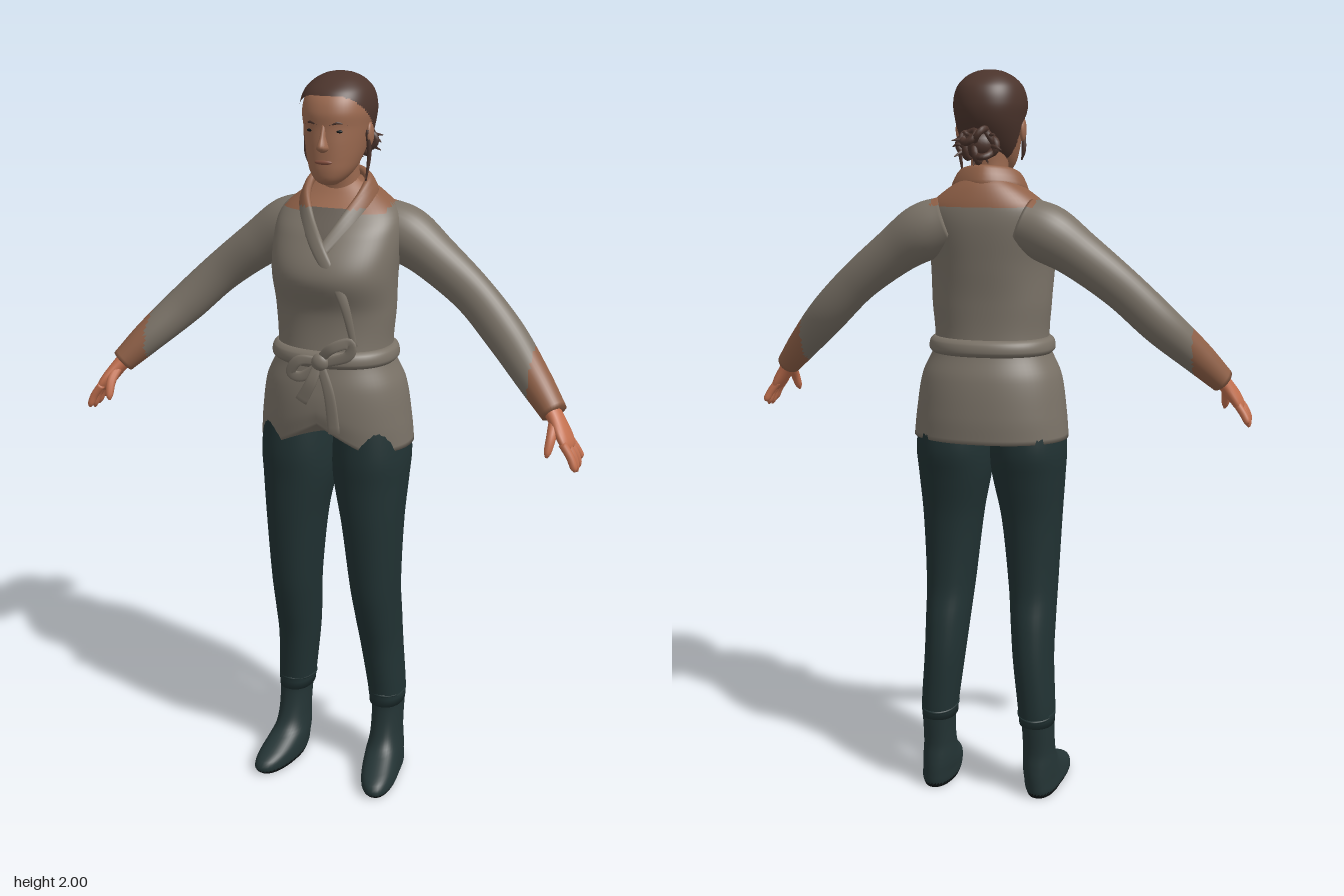
import * as THREE from 'three';

const mat = (name, color) => Object.assign(new THREE.MeshStandardMaterial({ color }), { name });
const M = {
  knit: mat('grey knit', 0x7a7267), tan: mat('tan trim', 0x8f6047), face: mat('face skin', 0x9c6a50),
  hand: mat('hand skin', 0xc2704f), hair: mat('brown hair', 0x4b342c), pants: mat('dark teal cloth', 0x213233),
  boot: mat('boot leather', 0x243435), sole: mat('black sole', 0x101516), shirt: mat('undershirt', 0x655d54),
  lips: mat('lips', 0x85503f),
};
const V = (x, y, z) => new THREE.Vector3(x, y, z);

// Smooth interpolation of key rows; the first column is the parameter
function at(keys, t) {
  const n = keys.length;
  let i = 0;
  while (i < n - 2 && t > keys[i + 1][0]) i++;
  const h = keys[i + 1][0] - keys[i][0], f = (t - keys[i][0]) / h;
  const slope = (k, c) => {
    const a = keys[Math.max(k - 1, 0)], b = keys[Math.min(k + 1, n - 1)];
    return (b[c] - a[c]) / (b[0] - a[0]);
  };
  const f2 = f * f, f3 = f2 * f;
  return keys[i].map((v, c) => c === 0 ? t : (2 * f3 - 3 * f2 + 1) * v + (f3 - 2 * f2 + f) * h * slope(i, c)
    + (3 * f2 - 2 * f3) * keys[i + 1][c] + (f3 - f2) * h * slope(i + 1, c));
}

// Closed skin over rings; pick(point) gives a material, or null to leave a hole
function skin(name, rings, pick) {
  const seg = rings[0].length, R = rings.length, pts = rings.flat(), buckets = new Map();
  for (const r of [rings[0], rings[R - 1]])
    pts.push(r.reduce((s, p) => s.add(p), V(0, 0, 0)).multiplyScalar(1 / seg));
  const tri = (a, b, c) => {
    const m = pick(pts[a].clone().add(pts[b]).add(pts[c]).multiplyScalar(1 / 3));
    if (!m) return;
    if (!buckets.has(m)) buckets.set(m, []);
    buckets.get(m).push(a, b, c);
  };
  for (let j = 0; j < seg; j++) {
    const k = (j + 1) % seg;
    for (let i = 0; i < R - 1; i++) {
      const a = i * seg, b = a + seg;
      tri(a + j, b + j, a + k);
      tri(a + k, b + j, b + k);
    }
    tri(R * seg, j, k);
    tri(R * seg + 1, (R - 1) * seg + k, (R - 1) * seg + j);
  }
  const g = new THREE.BufferGeometry().setFromPoints(pts), index = [], mats = [...buckets.keys()];
  mats.forEach((m, i) => {
    g.addGroup(index.length, buckets.get(m).length, i);
    index.push(...buckets.get(m));
  });
  g.setIndex(index);
  g.computeVertexNormals();
  const mesh = new THREE.Mesh(g, mats.length === 1 ? mats[0] : mats);
  mesh.name = name;
  return mesh;
}
const pw = (v, n) => Math.sign(v) * Math.abs(v) ** (2 / n);
const asPick = (m) => (typeof m === 'function' ? m : () => m);

// Upright loft: keys are [y, centre x, half width, front z, back z]
function column(name, keys, m, { s = 1, steps = 30, seg = 40, n = 2.2, warp } = {}) {
  const rings = [], y0 = keys[0][0], y1 = keys[keys.length - 1][0];
  for (let i = 0; i <= steps; i++) {
    const [y, cx, hx, zf, zb] = at(keys, y0 + (y1 - y0) * i / steps);
    rings.push(Array.from({ length: seg }, (_, j) => {
      const a = j / seg * Math.PI * 2;
      const p = V(s * cx + hx * pw(Math.cos(a), n), y, (zf + zb) / 2 + (zf - zb) / 2 * pw(Math.sin(a), n));
      if (warp) warp(p);
      return p;
    }));
  }
  return skin(name, rings, asPick(m));
}

// Loft along a path: rows are [x, y, z, radius along ref, radius across]
function tube(name, rows, m, { s = 1, per = 6, seg = 14, n = 2, ref = () => V(0, 0, 1) } = {}) {
  const keys = rows.map((r, i) => [i, s * r[0], ...r.slice(1)]), rings = [], last = rows.length - 1;
  const pos = (t) => { const k = at(keys, t); return V(k[1], k[2], k[3]); };
  for (let i = 0; i <= last * per; i++) {
    const t = i / per, k = at(keys, t), p = pos(t);
    const d = pos(Math.min(t + 0.02, last)).sub(pos(Math.max(t - 0.02, 0))).normalize();
    const u = ref(p), v = V(0, 0, 0);
    u.addScaledVector(d, -u.dot(d)).normalize();
    v.crossVectors(u, d);
    rings.push(Array.from({ length: seg }, (_, j) => {
      const a = j / seg * Math.PI * 2;
      return p.clone().addScaledVector(u, k[4] * pw(Math.cos(a), n)).addScaledVector(v, k[5] * pw(Math.sin(a), n));
    }));
  }
  return skin(name, rings, asPick(m));
}
function blob(name, m, x, y, z, rx, ry, rz) {
  const b = new THREE.Mesh(new THREE.SphereGeometry(1, 20, 14), m);
  b.name = name;
  b.position.set(x, y, z);
  b.scale.set(rx, ry, rz);
  return b;
}

const TORSO = [[1.03, 0, .213, .15, -.155], [1.1, 0, .206, .158, -.156], [1.2, 0, .19, .155, -.145],
  [1.28, 0, .157, .14, -.121], [1.4, 0, .162, .132, -.12], [1.5, 0, .167, .162, -.13], [1.6, 0, .172, .112, -.14],
  [1.65, 0, .16, .068, -.137], [1.69, 0, .115, .035, -.126], [1.72, 0, .07, .015, -.11], [1.735, 0, .05, .0, -.09]];
// Front surface of the torso, used to lay the lapels
const chest = (x, y) => {
  const [, , hx, zf, zb] = at(TORSO, y);
  return (zf + zb) / 2 + (zf - zb) / 2 * (1 - Math.min(1, Math.abs(x / hx)) ** 2.2) ** (1 / 2.2);
};

function cardigan(g) {
  g.add(column('cardigan body', TORSO, (p) => {
    if (p.z > -.02 && p.y > 1.57 && Math.abs(p.x) < (p.y - 1.56) * .75) return p.y > 1.665 ? M.face : M.shirt;
    return p.y > 1.655 && Math.abs(p.x) < .14 ? M.tan : M.knit;
  }, { steps: 60, seg: 64, warp: (p) => {
    if (p.z > 0 && p.y < 1.2) p.y += .075 * Math.max(0, 1 - Math.abs(p.x) / .13) * (1.2 - p.y) / .17;
  } }));

  // Shawl collar: down one lapel, round the neck, down the other
  const lay = (x, y, w) => [x, y, chest(x, y), .009, w];
  g.add(tube('shawl collar', [lay(.092, 1.32, .008), lay(.068, 1.45, .013), lay(.008, 1.56, .018), lay(-.052, 1.635, .022),
    [-.084, 1.69, .012, .012, .026], [-.074, 1.722, -.05, .012, .03], [0, 1.732, -.096, .012, .03],
    [.074, 1.722, -.05, .012, .03], [.084, 1.69, .012, .012, .026], lay(.056, 1.635, .022), lay(.006, 1.56, .015)],
  (p) => (p.y > 1.665 ? M.tan : M.knit), { per: 8, n: 2.6, ref: (p) => V(p.x, .03, p.z + .04) }));

  // Belt and bow
  const belt = [[1.26, 0], [1.27, .012], [1.295, .012], [1.305, 0]].map(([y, o]) => {
    const k = at(TORSO, y);
    return [y, 0, k[2] + o, k[3] + o, k[4] - o];
  });
  g.add(column('belt', belt, M.knit, { steps: 10, seg: 64 }));
  const ribbon = (name, pts) => g.add(tube(name, pts.map(([x, y, z, w]) => [x, y, z, .005, w]), M.knit, { n: 2.6 }));
  ribbon('bow loop', [[.01, 1.285, .16, .012], [.05, 1.325, .172, .014], [.095, 1.34, .16, .015], [.09, 1.305, .158, .014], [.02, 1.28, .16, .012]]);
  ribbon('bow loop', [[.01, 1.285, .16, .012], [-.04, 1.285, .172, .014], [-.065, 1.25, .168, .014], [-.035, 1.24, .165, .014], [.015, 1.275, .162, .012]]);
  ribbon('bow tail', [[.015, 1.28, .163, .012], [.045, 1.2, .174, .015], [.058, 1.095, .172, .017]]);
  ribbon('bow tail', [[.01, 1.28, .163, .012], [-.005, 1.23, .176, .015], [-.035, 1.175, .172, .017]]);
  g.add(blob('bow knot', M.knit, .015, 1.283, .163, .024, .024, .016));
}

function arm(g, s) {
  g.add(tube('sleeve', [[.1, 1.61, -.065, .068, .07], [.17, 1.582, -.068, .072, .076], [.25, 1.53, -.062, .06, .064],
    [.36, 1.445, -.05, .047, .056], [.46, 1.35, -.02, .048, .054], [.55, 1.262, .035, .044, .045], [.617, 1.192, .076, .038, .034]],
  (p) => (Math.abs(p.x) > .545 || (Math.abs(p.x) < .14 && p.y > 1.655) ? M.tan : M.knit), { s, per: 10, seg: 32 }));
  g.add(tube('palm', [[.6, 1.21, .07, .026, .022], [.625, 1.18, .085, .032, .02], [.65, 1.145, .1, .042, .018],
    [.664, 1.122, .106, .04, .014], [.668, 1.112, .108, .02, .006]], M.hand, { s, seg: 20 }));
  for (let i = 0; i < 4; i++) {
    const z = .074 + i * .021, tip = .066 + i * .026, drop = [.018, .004, 0, .008][i];
    g.add(tube('finger', [[.655, 1.135, z, .011, .011], [.677, 1.104, (z + tip) / 2, .0105, .0105],
      [.688, 1.075 + drop / 2, tip, .009, .009], [.692, 1.06 + drop, tip, .003, .003]], M.hand, { s, seg: 10 }));
  }
  g.add(tube('thumb', [[.622, 1.18, .095, .014, .014], [.625, 1.15, .132, .013, .013], [.622, 1.115, .152, .01, .01],
    [.62, 1.1, .157, .003, .003]], M.hand, { s, seg: 10, ref: () => V(1, 0, 0) }));
}

function leg(g, s) {
  g.add(column('trouser leg', [[.215, .142, .049, .026, -.106], [.25, .141, .051, .028, -.109], [.4, .128, .056, .052, -.11],
    [.5, .123, .061, .078, -.1], [.6, .119, .067, .1, -.083], [.8, .112, .083, .122, -.09], [.93, .104, .1, .13, -.115],
    [1, .104, .103, .135, -.13], [1.14, .1, .09, .125, -.12]], M.pants, { s, steps: 40 }));
  g.add(column('boot', [[0, .152, .046, .162, -.088], [.015, .152, .052, .176, -.095], [.04, .15, .052, .163, -.097],
    [.065, .148, .05, .11, -.097], [.09, .147, .047, .062, -.095], [.13, .146, .044, .036, -.092],
    [.2, .145, .045, .021, -.099], [.25, .143, .05, .024, -.105]], (p) => (p.y < .011 ? M.sole : M.boot),
  { s, steps: 32, warp: (p) => { p.x += s * .13 * Math.max(0, p.z - .02); } }));
  g.add(tube('trouser seam', Array.from({ length: 9 }, (_, i) => {
    const a = i / 8 * Math.PI * 2;
    return [.141 + .05 * Math.cos(a), .245 + .008 * Math.sin(a), -.041 + .068 * Math.sin(a), .004, .004];
  }), M.pants, { s, seg: 8, ref: () => V(0, 1, 0) }));
}

const HEAD = [[1.727, 0, .02, .078, .035], [1.737, 0, .036, .094, .005], [1.76, 0, .055, .101, -.035], [1.79, 0, .067, .102, -.07],
  [1.83, 0, .077, .102, -.1], [1.87, 0, .084, .1, -.118], [1.91, 0, .088, .1, -.122], [1.95, 0, .078, .082, -.11],
  [1.975, 0, .056, .048, -.083], [1.99, 0, .028, .01, -.05], [1.994, 0, .008, -.012, -.028]];

function head(g) {
  g.add(column('neck', [[1.64, 0, .07, .03, -.1], [1.7, 0, .052, .022, -.082], [1.75, 0, .048, .03, -.075], [1.8, 0, .05, .04, -.08]], M.face));
  g.add(column('head', HEAD, M.face, { steps: 48, seg: 56 }));
  const hairline = (y) => (y < 1.86 ? -.03 : -.03 + (y - 1.86) * 1.25);
  g.add(column('hair', HEAD.map(([y, x, w, f, b]) => [y + .006, x, w + .007, f + .005, b - .006]),
    (p) => (p.y > 1.765 && (p.y > 1.95 || p.z < hairline(p.y)) ? M.hair : null), { steps: 90, seg: 96 }));
  g.add(column('nose', [[1.812, 0, .008, .108, .07], [1.82, 0, .017, .121, .07], [1.828, 0, .015, .124, .07],
    [1.85, 0, .009, .113, .07], [1.88, 0, .008, .1, .07]], M.face, { steps: 14, seg: 20, n: 2 }));
  g.add(blob('mouth', M.lips, 0, 1.787, .097, .024, .007, .008));
  for (const s of [1, -1]) {
    g.add(blob('eye', M.sole, s * .034, 1.864, .087, .014, .005, .006));
    g.add(tube('eyebrow', [[.016, 1.879, .096, .003, .003], [.036, 1.885, .091, .003, .004], [.056, 1.878, .075, .002, .002]], M.hair, { s, seg: 8 }));
    g.add(blob('ear', M.face, s * .086, 1.848, -.008, .009, .03, .018));
    g.add(tube('loose lock', [[.083, 1.86, .008, .004, .005], [.087, 1.8, .0, .005, .006], [.08, s > 0 ? 1.73 : 1.77, .005, .002, .002]], M.hair, { s, seg: 8 }));
  }
  // Knotted bun with loose ends
  g.add(blob('bun', M.hair, 0, 1.812, -.132, .044, .036, .036));
  for (let i = 0; i < 9; i++) {
    const a = i * 2.4, c = Math.cos(a), d = Math.sin(a);
    const coil = new THREE.Mesh(new THREE.TorusGeometry(.02, .009, 8, 18), M.hair);
    coil.name = 'bun coil';
    coil.position.set(c * .032, 1.812 + d * .024, -.146 + .012 * Math.sin(i * 1.7));
    coil.rotation.set(a, i * .9, 0);
    g.add(coil);
    g.add(tube('bun loose end', [[c * .03, 1.812 + d * .022, -.14, .006, .006],
      [c * .05, 1.812 + d * .036, -.158, .005, .005], [c * .066, 1.806 + d * .046, -.15 - .012 * (i % 3), .001, .001]], M.hair, { seg: 6 }));
  }
}

export function createModel() {
  const model = new THREE.Group();
  model.name = 'standing woman';
  const part = (name, build, ...args) => {
    const g = new THREE.Group();
    g.name = name;
    build(g, ...args);
    model.add(g);
  };
  part('cardigan', cardigan);
  part('head and hair', head);
  for (const [side, s] of [['left', 1], ['right', -1]]) {
    part(side + ' arm', arm, s);
    part(side + ' leg', leg, s);
  }
  return model;
}
